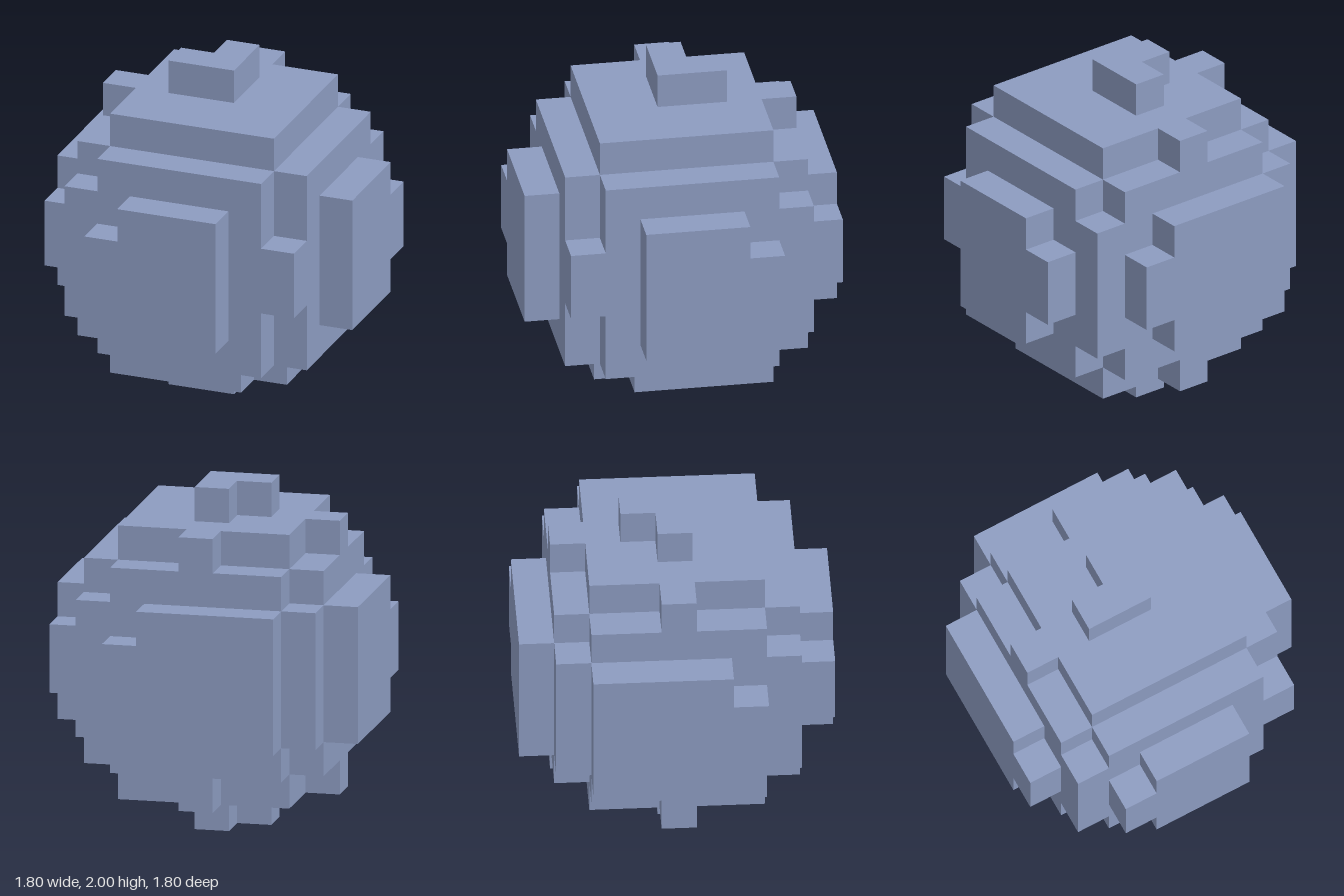
import * as THREE from 'three';
import { mergeGeometries } from 'three/addons/utils/BufferGeometryUtils.js';

const CELL = 0.2;
const CENTRE = -0.1; // the ball's centre sits slightly off the grid in x and z
const RADIUS_SQ = 21.2;

// Is the block at grid position (x, y, z) part of the ball?
function filled(x, y, z) {
  if (x === 2 && y === -3.5 && z === 2) return false; // chipped lower corner
  return (x - CENTRE) ** 2 + y ** 2 + (z - CENTRE) ** 2 <= RADIUS_SQ;
}

// Outward directions with the rotation that turns a +z plane towards them
const SIDES = [
  { dir: [0, 0, 1], rx: 0, ry: 0 },
  { dir: [0, 0, -1], rx: 0, ry: Math.PI },
  { dir: [1, 0, 0], rx: 0, ry: Math.PI / 2 },
  { dir: [-1, 0, 0], rx: 0, ry: -Math.PI / 2 },
  { dir: [0, 1, 0], rx: -Math.PI / 2, ry: 0 },
  { dir: [0, -1, 0], rx: Math.PI / 2, ry: 0 },
];

// Outer skin: one square for each exposed block side
function blockBallGeometry() {
  const squares = SIDES.map(({ rx, ry }) =>
    new THREE.PlaneGeometry(CELL, CELL).translate(0, 0, CELL / 2).rotateX(rx).rotateY(ry));
  const faces = [];
  for (let x = -4; x <= 4; x++) {
    for (let y = -4.5; y <= 4.5; y++) {
      for (let z = -4; z <= 4; z++) {
        if (!filled(x, y, z)) continue;
        SIDES.forEach(({ dir: [dx, dy, dz] }, i) => {
          if (filled(x + dx, y + dy, z + dz)) return;
          faces.push(squares[i].clone().translate(x * CELL, 1 + y * CELL, z * CELL));
        });
      }
    }
  }
  return mergeGeometries(faces);
}

export function createModel() {
  const group = new THREE.Group();
  group.name = 'blockSphere';
  const blue = new THREE.MeshStandardMaterial({ color: 0x8c9bc0 });
  blue.name = 'greyBlue';
  const ball = new THREE.Mesh(blockBallGeometry(), blue);
  ball.name = 'blockBall';
  group.add(ball);
  return group;
}
